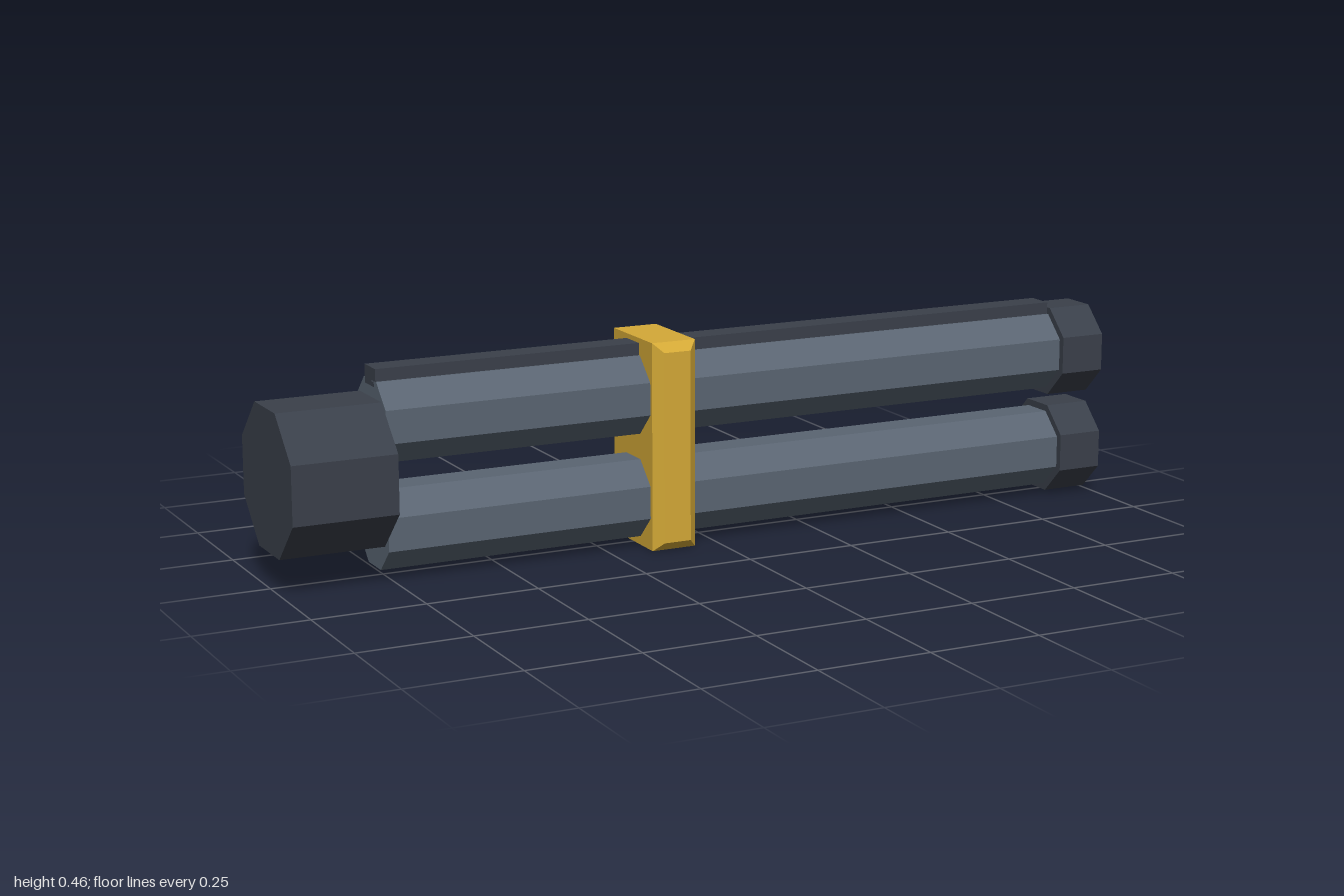
import * as THREE from 'three';

export function createModel() {
  const model = new THREE.Group();
  model.name = 'doubleBarrel';

  const makeMaterial = (name, color) => {
    const material = new THREE.MeshStandardMaterial({ color });
    material.name = name;
    return material;
  };
  const steel = makeMaterial('steel', 0x5a6572);
  const darkSteel = makeMaterial('darkSteel', 0x3a404a);
  const gold = makeMaterial('gold', 0xd4a937);

  const add = (name, geometry, material) => {
    const flat = geometry.index ? geometry.toNonIndexed() : geometry;
    flat.computeVertexNormals();
    const mesh = new THREE.Mesh(flat, material);
    mesh.name = name;
    model.add(mesh);
  };

  // Octagonal bar along x with flats up, down, front and back
  const octagonBar = (name, x0, x1, y, apothem, material) => {
    const radius = apothem / Math.cos(Math.PI / 8);
    const geometry = new THREE.CylinderGeometry(radius, radius, x1 - x0, 8);
    geometry.rotateY(Math.PI / 8).rotateZ(-Math.PI / 2);
    geometry.translate((x0 + x1) / 2, y, 0);
    add(name, geometry, material);
  };

  // Two stacked barrels, each with a wider muzzle
  for (const [side, y] of [['upper', 0.338], ['lower', 0.107]]) {
    octagonBar(side + 'Barrel', -0.768, 0.895, y, 0.087, steel);
    octagonBar(side + 'Muzzle', 0.893, 1, y, 0.102, darkSteel);
  }

  // Breech block behind the barrels
  octagonBar('breech', -1, -0.768, 0.233, 0.155, darkSteel);

  // Sighting rib on the upper barrel
  const rib = new THREE.BoxGeometry(1.661, 0.04, 0.062);
  add('topRib', rib.translate(0.0625, 0.432, 0), darkSteel);

  // Gold band with chamfered front and back faces
  const inset = 0.02;
  const [x0, x1, y0, y1] = [-0.16 + inset, -0.057 - inset, inset, 0.463 - inset];
  const outline = new THREE.Shape([
    new THREE.Vector2(x0, y0), new THREE.Vector2(x1, y0),
    new THREE.Vector2(x1, y1), new THREE.Vector2(x0, y1),
  ]);
  const band = new THREE.ExtrudeGeometry(outline, {
    depth: 0.192, bevelThickness: inset, bevelSize: inset, bevelSegments: 1,
  });
  add('band', band.translate(0, 0, -0.096), gold);

  return model;
}
